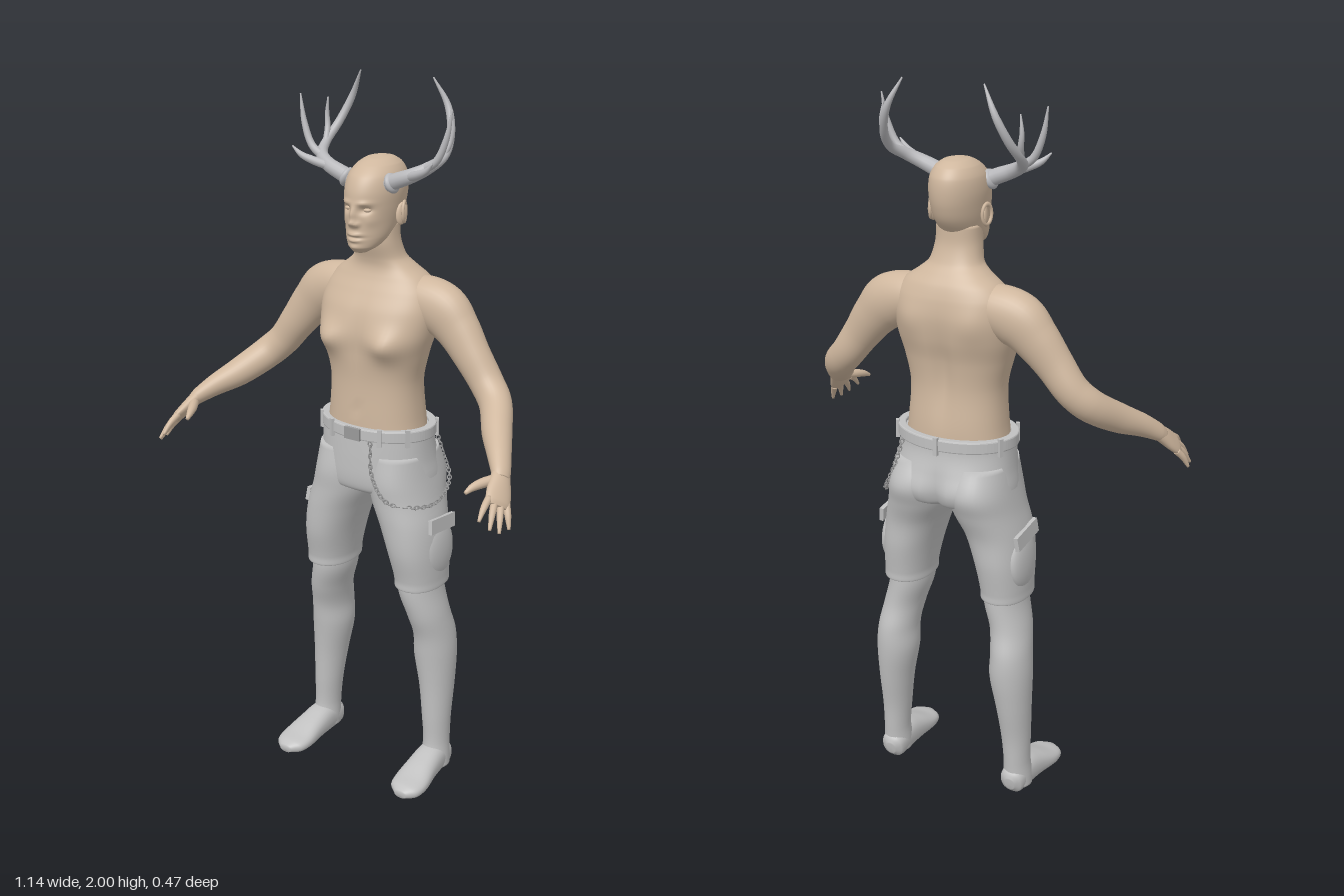
import * as THREE from 'three';

const mat = (name, color) => Object.assign(new THREE.MeshStandardMaterial({ color }), { name });
const V3 = (a) => new THREE.Vector3(...a);
const clamp = THREE.MathUtils.clamp;

// Smooth closed loft through rows [x, y, z, radiusU, radiusV]; flat keeps rings horizontal.
function loft(rows, { sub = 6, seg = 32, ref = [1, 0, 0], flat = false, pow = 1, warp } = {}) {
  const path = new THREE.CatmullRomCurve3(rows.map((r) => V3(r.slice(0, 3))));
  const size = new THREE.CatmullRomCurve3(rows.map((r) => V3([r[3], r[4], 0])), false, 'catmullrom', 0.5);
  const n = (rows.length - 1) * sub, pos = [], idx = [];
  const U = V3(ref), up = V3([0, Math.sign(rows.at(-1)[1] - rows[0][1]), 0]);
  const curvePow = (c) => Math.sign(c) * Math.abs(c) ** pow;
  for (let i = 0; i <= n; i++) {
    const c = path.getPoint(i / n), r = size.getPoint(i / n);
    const T = flat ? up : path.getTangent(i / n);
    U.addScaledVector(T, -U.dot(T)).normalize();
    const W = new THREE.Vector3().crossVectors(T, U);
    for (let j = 0; j < seg; j++) {
      const a = (j / seg) * Math.PI * 2;
      const v = c.clone().addScaledVector(U, r.x * curvePow(Math.cos(a))).addScaledVector(W, r.y * curvePow(Math.sin(a)));
      if (warp) warp(v);
      pos.push(v.x, v.y, v.z);
      if (i < n) {
        const k = (j + 1) % seg, p = i * seg, q = p + seg;
        idx.push(p + j, p + k, q + k, p + j, q + k, q + j);
      }
    }
  }
  const c0 = pos.length / 3, last = n * seg;
  pos.push(...rows[0].slice(0, 3), ...rows.at(-1).slice(0, 3));
  for (let j = 0; j < seg; j++) {
    const k = (j + 1) % seg;
    idx.push(c0, k, j, c0 + 1, last + j, last + k);
  }
  const g = new THREE.BufferGeometry();
  g.setAttribute('position', new THREE.Float32BufferAttribute(pos, 3));
  g.setIndex(idx);
  g.computeVertexNormals();
  return g;
}

// Rows [y, z, rx, rz] of an upright central part
const upright = (rows) => rows.map(([y, z, a, b]) => [0, y, z, a, b]);
// Rows [y, x, z, rx, rz] of a leg on side s
const limb = (rows, s) => rows.map(([y, x, z, a, b]) => [s * x, y, z, a, b]);
const side = (rows, s) => rows.map(([x, ...r]) => [s * x, ...r]);
// Sum of mirrored soft bumps [x, y, height, spreadX, spreadY]
const bumps = (v, list) => list.reduce((sum, [x, y, h, sx, sy]) =>
  sum + h * Math.exp(-(((Math.abs(v.x) - x) / sx) ** 2) - ((v.y - y) / sy) ** 2), 0);

export function createModel() {
  const skin = mat('skin', 0xcfb79e), cloth = mat('cloth', 0xc0c0c0);
  const horn = mat('antler', 0xb8b8bb), metal = mat('metal', 0x9a9a9a);
  const model = new THREE.Group();
  const add = (name, geo, m, p = [0, 0, 0], rot = [0, 0, 0], sc = [1, 1, 1]) => {
    const mesh = new THREE.Mesh(geo, m);
    mesh.name = name;
    mesh.position.set(...p);
    mesh.rotation.set(...rot);
    mesh.scale.set(...sc);
    model.add(mesh);
    return mesh;
  };
  const ball = new THREE.SphereGeometry(1, 24, 16);

  // Torso and neck
  add('torso', loft(upright([
    [1.03, -0.08, 0.148, 0.105], [1.1, -0.08, 0.138, 0.104], [1.2, -0.077, 0.133, 0.098],
    [1.28, -0.077, 0.15, 0.104], [1.34, -0.082, 0.166, 0.112], [1.4, -0.092, 0.172, 0.107],
    [1.45, -0.102, 0.162, 0.09], [1.485, -0.105, 0.135, 0.074], [1.51, -0.1, 0.1, 0.062],
    [1.535, -0.09, 0.073, 0.055], [1.58, -0.076, 0.062, 0.054], [1.63, -0.075, 0.058, 0.053],
  ]), { flat: true, seg: 64, pow: 0.87, warp: (v) => {
    const front = clamp((v.z + 0.08) / 0.05, 0, 1), back = clamp((-0.1 - v.z) / 0.05, 0, 1);
    v.z += front * bumps(v, [[0.095, 1.315, 0.03, 0.045, 0.04], [0, 1.33, -0.006, 0.02, 0.08], [0, 1.125, -0.006, 0.008, 0.01]]);
    v.z += back * bumps(v, [[0, 1.25, 0.016, 0.025, 0.13], [0.09, 1.39, -0.008, 0.04, 0.05]]);
  } }), skin);

  // Head with sculpted face
  add('head', loft(upright([
    [1.56, 0.003, 0.018, 0.018], [1.575, -0.012, 0.04, 0.043], [1.6, -0.037, 0.055, 0.072],
    [1.64, -0.057, 0.064, 0.092], [1.68, -0.065, 0.07, 0.102], [1.72, -0.07, 0.073, 0.103],
    [1.755, -0.076, 0.068, 0.093], [1.78, -0.082, 0.053, 0.07], [1.794, -0.085, 0.033, 0.042],
    [1.8, -0.086, 0.006, 0.008],
  ]), { flat: true, seg: 96, sub: 10, warp: (v) => {
    v.z += clamp((v.z + 0.05) / 0.05, 0, 1) * bumps(v, [
      [0, 1.662, 0.012, 0.009, 0.02], [0, 1.64, 0.013, 0.011, 0.009], [0.012, 1.637, 0.007, 0.006, 0.006],
      [0.028, 1.674, -0.013, 0.015, 0.009], [0.028, 1.692, 0.005, 0.018, 0.006], [0.042, 1.645, 0.004, 0.014, 0.014],
      [0, 1.61, 0.008, 0.02, 0.005], [0, 1.594, 0.007, 0.017, 0.005], [0, 1.602, -0.006, 0.024, 0.003],
      [0, 1.575, 0.006, 0.018, 0.01]]);
  } }), skin);

  // Hips of the shorts
  add('shortsHips', loft(upright([
    [1.07, -0.085, 0.161, 0.119], [1.03, -0.085, 0.163, 0.121], [0.98, -0.09, 0.168, 0.128],
    [0.93, -0.096, 0.176, 0.134], [0.895, -0.094, 0.174, 0.125], [0.88, -0.092, 0.15, 0.1],
  ]), { flat: true, seg: 64, pow: 0.9, warp: (v) => {
    if (v.z < -0.12) v.z += bumps(v, [[0, 0.91, 0.02, 0.018, 0.06], [0.085, 0.94, -0.006, 0.05, 0.05]]);
  } }), cloth);

  // Belt, buckle and loops
  const ring = new THREE.Shape().absellipse(0, 0, 0.168, 0.122, 0, Math.PI * 2);
  ring.holes.push(new THREE.Path().absellipse(0, 0, 0.153, 0.108, 0, Math.PI * 2));
  add('belt', new THREE.ExtrudeGeometry(ring, { depth: 0.026, curveSegments: 48, bevelSize: 0.004, bevelThickness: 0.004, bevelSegments: 2 }),
    cloth, [0, 1.075, -0.085], [Math.PI / 2, 0, 0]);
  add('buckle', new THREE.BoxGeometry(0.05, 0.034, 0.009), metal, [0, 1.062, 0.042]);
  for (const a of [0.6, 1.1, 2.04, 2.54, 3.6, 4.71, 5.82])
    add('beltLoop', new THREE.BoxGeometry(0.012, 0.05, 0.01), cloth,
      [0.173 * Math.cos(a), 1.06, -0.085 + 0.127 * Math.sin(a)], [0, Math.PI / 2 - a, 0]);

  // Hanging chain on the left hip
  const chain = new THREE.CatmullRomCurve3([
    [0.06, 1.045, 0.045], [0.066, 0.95, 0.044], [0.11, 0.885, 0.04], [0.178, 0.866, -0.015],
    [0.2, 0.868, -0.08], [0.172, 0.9, -0.185], [0.135, 0.97, -0.2], [0.115, 1.045, -0.19]].map(V3));
  const links = 56, link = new THREE.TorusGeometry(0.0055, 0.0018, 5, 10);
  for (let i = 0; i <= links; i++) {
    const p = chain.getPointAt(i / links);
    const m = add('chainLink', link, metal, p.toArray());
    m.lookAt(p.clone().add(chain.getTangentAt(i / links)));
    m.rotateY(Math.PI / 2);
    m.rotateX((i % 2) * Math.PI / 2);
    m.scale.x = 1.35;
  }

  for (const s of [1, -1]) {
    const label = s > 0 ? 'left' : 'right';
    // Shorts leg with cargo pocket and flap
    add(label + 'ShortsLeg', loft(limb([
      [1.0, 0.086, -0.088, 0.076, 0.115], [0.93, 0.09, -0.097, 0.086, 0.135], [0.87, 0.099, -0.09, 0.09, 0.126],
      [0.8, 0.123, -0.08, 0.084, 0.114], [0.72, 0.141, -0.08, 0.075, 0.108], [0.64, 0.15, -0.083, 0.067, 0.094],
      [0.612, 0.151, -0.083, 0.066, 0.092], [0.61, 0.151, -0.083, 0.058, 0.08],
    ], s), { flat: true, seg: 40, pow: 0.92 }), cloth);
    add(label + 'CargoPocket', ball, cloth, [s * 0.198, 0.725, -0.09], [0, 0, s * 0.07], [0.024, 0.085, 0.068]);
    add(label + 'PocketFlap', new THREE.BoxGeometry(0.012, 0.04, 0.12), cloth, [s * 0.209, 0.8, -0.09], [-0.12, 0, s * 0.12]);

    // Lower leg and foot
    add(label + 'Leg', loft(limb([
      [0.7, 0.145, -0.085, 0.055, 0.075], [0.6, 0.148, -0.083, 0.059, 0.08], [0.52, 0.168, -0.092, 0.056, 0.074],
      [0.45, 0.179, -0.111, 0.056, 0.072], [0.38, 0.181, -0.116, 0.059, 0.069], [0.28, 0.189, -0.114, 0.049, 0.058],
      [0.18, 0.194, -0.107, 0.041, 0.048], [0.1, 0.197, -0.105, 0.037, 0.044], [0.05, 0.198, -0.1, 0.04, 0.047],
      [0.02, 0.199, -0.1, 0.04, 0.045],
    ], s), { flat: true }), cloth);
    add(label + 'Foot', loft(side([
      [0.196, 0.035, -0.152, 0.014, 0.018], [0.196, 0.038, -0.138, 0.034, 0.037], [0.198, 0.045, -0.08, 0.041, 0.045],
      [0.201, 0.038, -0.02, 0.046, 0.037], [0.205, 0.026, 0.04, 0.052, 0.026], [0.207, 0.021, 0.08, 0.045, 0.02],
      [0.207, 0.018, 0.104, 0.018, 0.011],
    ], s), { pow: 0.85, warp: (v) => { v.y = Math.max(v.y, 0); } }), cloth);

    // Arm
    add(label + 'Arm', loft(side([
      [0.07, 1.43, -0.108, 0.05, 0.055], [0.125, 1.425, -0.108, 0.067, 0.062], [0.19, 1.403, -0.108, 0.074, 0.059],
      [0.235, 1.362, -0.106, 0.063, 0.052], [0.285, 1.3, -0.1, 0.052, 0.046], [0.335, 1.235, -0.095, 0.046, 0.044],
      [0.375, 1.195, -0.073, 0.045, 0.042], [0.425, 1.145, 0.0, 0.04, 0.039], [0.468, 1.112, 0.06, 0.03, 0.032],
      [0.497, 1.085, 0.1, 0.022, 0.027], [0.505, 1.074, 0.113, 0.018, 0.024],
    ], s), { ref: [0, 1, 0] }), skin);

    // Palm, fingers and thumb
    const spread = [s * 0.52, -0.46, -0.69];
    add(label + 'Palm', loft(side([
      [0.495, 1.088, 0.095, 0.024, 0.018], [0.506, 1.07, 0.118, 0.03, 0.018], [0.517, 1.05, 0.142, 0.036, 0.016],
      [0.526, 1.034, 0.162, 0.036, 0.013], [0.53, 1.026, 0.171, 0.028, 0.008],
    ], s), { ref: spread }), skin);
    [[0.515, 1.005, 0.233], [0.54, 0.984, 0.222], [0.556, 0.972, 0.202], [0.564, 0.972, 0.168]].forEach((tip, i) => {
      const k = (i - 1.5) * 0.018;
      const b = [0.524 + 0.52 * k, 1.036 - 0.46 * k, 0.158 - 0.69 * k];
      const mid = b.map((x, j) => x * 0.45 + tip[j] * 0.55 + (j === 1 ? 0.006 : 0));
      add(label + 'Finger', loft(side([[...b, 0.01, 0.01], [...mid, 0.0085, 0.0085], [...tip, 0.004, 0.004]], s),
        { seg: 12, ref: [1, 0, 0] }), skin);
    });
    add(label + 'Thumb', loft(side([
      [0.5, 1.076, 0.115, 0.014, 0.014], [0.475, 1.07, 0.152, 0.013, 0.013], [0.462, 1.064, 0.178, 0.01, 0.01],
      [0.454, 1.054, 0.2, 0.005, 0.005]], s), { seg: 12, ref: [0, 1, 0] }), skin);

    // Eye and ear
    add(label + 'Eye', ball, skin, [s * 0.028, 1.674, 0.014], [0, 0, 0], [0.012, 0.006, 0.009]);
    add(label + 'Ear', ball, skin, [s * 0.075, 1.655, -0.076], [-0.2, s * -0.35, 0], [0.008, 0.03, 0.018]);
    add(label + 'EarRim', new THREE.TorusGeometry(0.019, 0.0045, 8, 24), skin, [s * 0.081, 1.66, -0.079],
      [0, Math.PI / 2 + s * 0.35, 0], [0.85, 1.35, 1]);

    // Antler: burr, main beam and tines
    add(label + 'AntlerBurr', ball, horn, [s * 0.07, 1.74, -0.036], [0, 0, s * 0.4], [0.014, 0.027, 0.027]);
    const antler = (name, rows) => add(label + name, loft(side(rows.map((r) => [...r, r[3]]), s), { seg: 14, ref: [0, 0, 1] }), horn);
    antler('AntlerBeam', [[0.055, 1.735, -0.038, 0.022], [0.09, 1.75, -0.034, 0.021], [0.13, 1.766, -0.036, 0.019],
      [0.165, 1.785, -0.055, 0.016], [0.185, 1.81, -0.1, 0.012], [0.175, 1.86, -0.148, 0.011],
      [0.15, 1.925, -0.172, 0.009], [0.113, 1.996, -0.158, 0.002]]);
    antler('BrowTine', [[0.12, 1.762, -0.034, 0.013], [0.165, 1.776, -0.015, 0.011], [0.195, 1.79, -0.003, 0.008], [0.218, 1.812, 0.005, 0.002]]);
    antler('MiddleTine', [[0.155, 1.78, -0.048, 0.012], [0.195, 1.808, -0.05, 0.01], [0.221, 1.865, -0.053, 0.008], [0.235, 1.938, -0.056, 0.002]]);
    antler('RearTine', [[0.183, 1.806, -0.095, 0.009], [0.192, 1.845, -0.117, 0.008], [0.197, 1.88, -0.122, 0.006], [0.192, 1.925, -0.12, 0.002]]);
  }
  return model;
}
